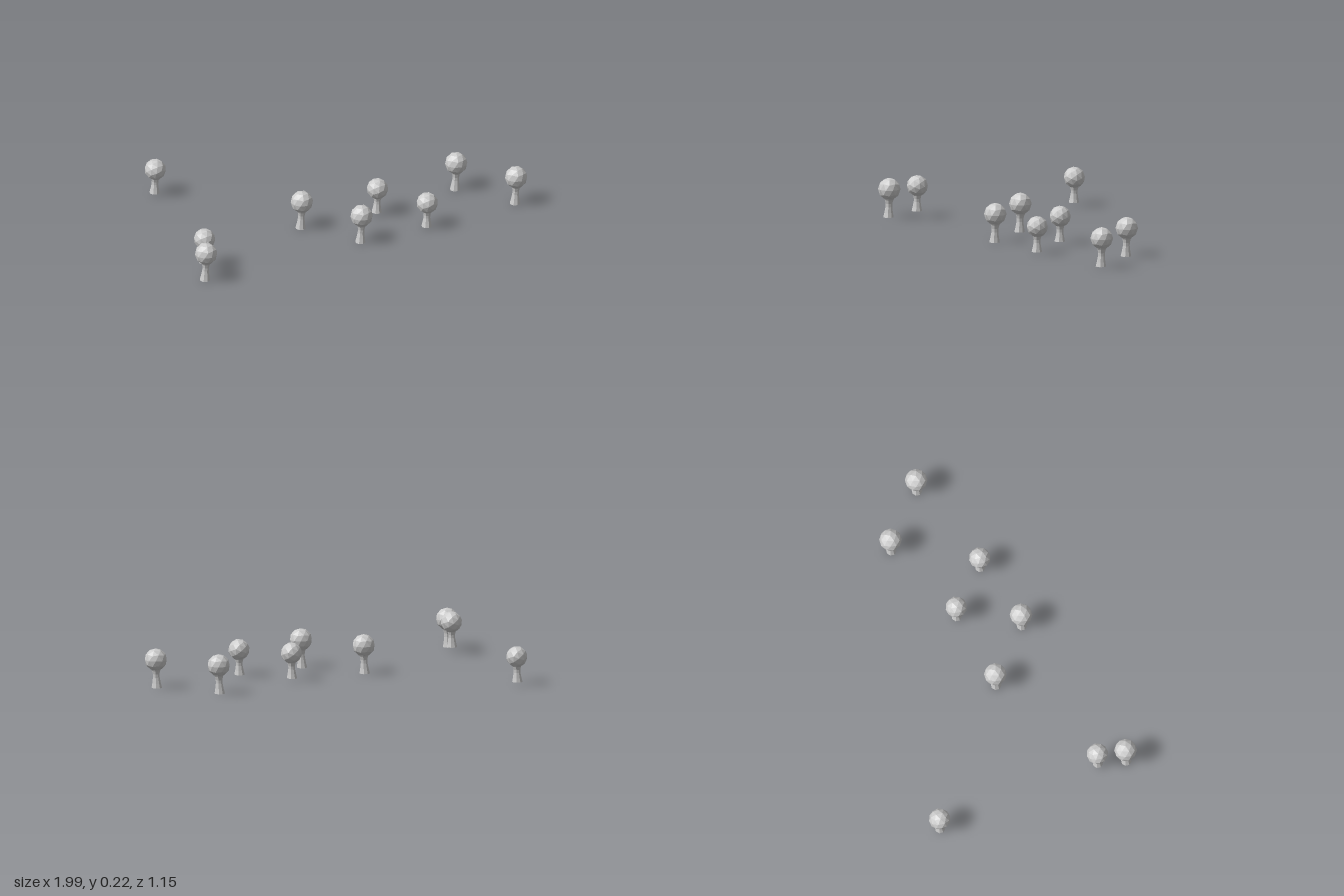
import * as THREE from 'three';

const material = new THREE.MeshStandardMaterial({ color: 0xcccccc, flatShading: true });

// Flared trunk, closed underneath, leaning by `lean` in x up to the crown.
function trunkGeometry(profile, height, lean) {
  const points = profile.map(([r, y]) => new THREE.Vector2(r, y * height));
  const geometry = new THREE.LatheGeometry(points, 8);
  const pos = geometry.attributes.position;
  for (let i = 0; i < pos.count; i++) {
    pos.setX(i, pos.getX(i) + lean * pos.getY(i) / height);
  }
  geometry.computeVertexNormals();
  return geometry;
}

// Faceted ball turned so that the direction `up` points to the sky.
function crownGeometry(radius, up) {
  const turn = new THREE.Quaternion().setFromUnitVectors(
    up.normalize(), new THREE.Vector3(0, 1, 0));
  return new THREE.IcosahedronGeometry(radius, 1).applyQuaternion(turn);
}

const profile = [[0, 0], [0.028, 0], [0.023, 0.22], [0.018, 0.5], [0.018, 0.66],
  [0.022, 0.82], [0.033, 1], [0, 1.03]];

export function createModel() {
  const model = new THREE.Group();
  model.name = 'treeGrove';

  const phi = (1 + Math.sqrt(5)) / 2;
  const kinds = {
    // Taller tree with a pointed crown
    tall: {
      lean: 0.007, crownY: 0.152,
      trunk: trunkGeometry(profile, 0.112, 0.007),
      crown: crownGeometry(0.06, new THREE.Vector3(1, phi, 0)),
    },
    // Shorter tree with a flat-topped crown
    short: {
      lean: 0.004, crownY: 0.135,
      trunk: trunkGeometry(profile, 0.1, 0.004),
      crown: crownGeometry(0.057, new THREE.Vector3(1, 1, 1)),
    },
  };

  // Kind and foot of each tree
  const trees = [
    ['short', -0.675, 0.017, -0.52],
    ['short', -0.877, 0.036, 0.365],
    ['tall', -0.947, 0.006, 0.5],
    ['tall', -0.195, 0, 0.198],
    ['tall', -0.006, 0.003, 0.505],
    ['short', 0.235, 0.015, 0.255],
    ['short', 0.387, 0.008, 0.52],
    ['tall', 0.742, 0, 0.198],
    ['tall', 0.932, 0.003, 0.505],
  ];

  trees.forEach(([kindName, x, y, z], i) => {
    const kind = kinds[kindName];
    const tree = new THREE.Group();
    tree.name = `${kindName}Tree${i + 1}`;
    const trunk = new THREE.Mesh(kind.trunk, material);
    trunk.name = 'trunk';
    const crown = new THREE.Mesh(kind.crown, material);
    crown.name = 'crown';
    crown.position.set(kind.lean, kind.crownY, 0);
    tree.add(trunk, crown);
    tree.position.set(x, y, z);
    model.add(tree);
  });
  return model;
}
